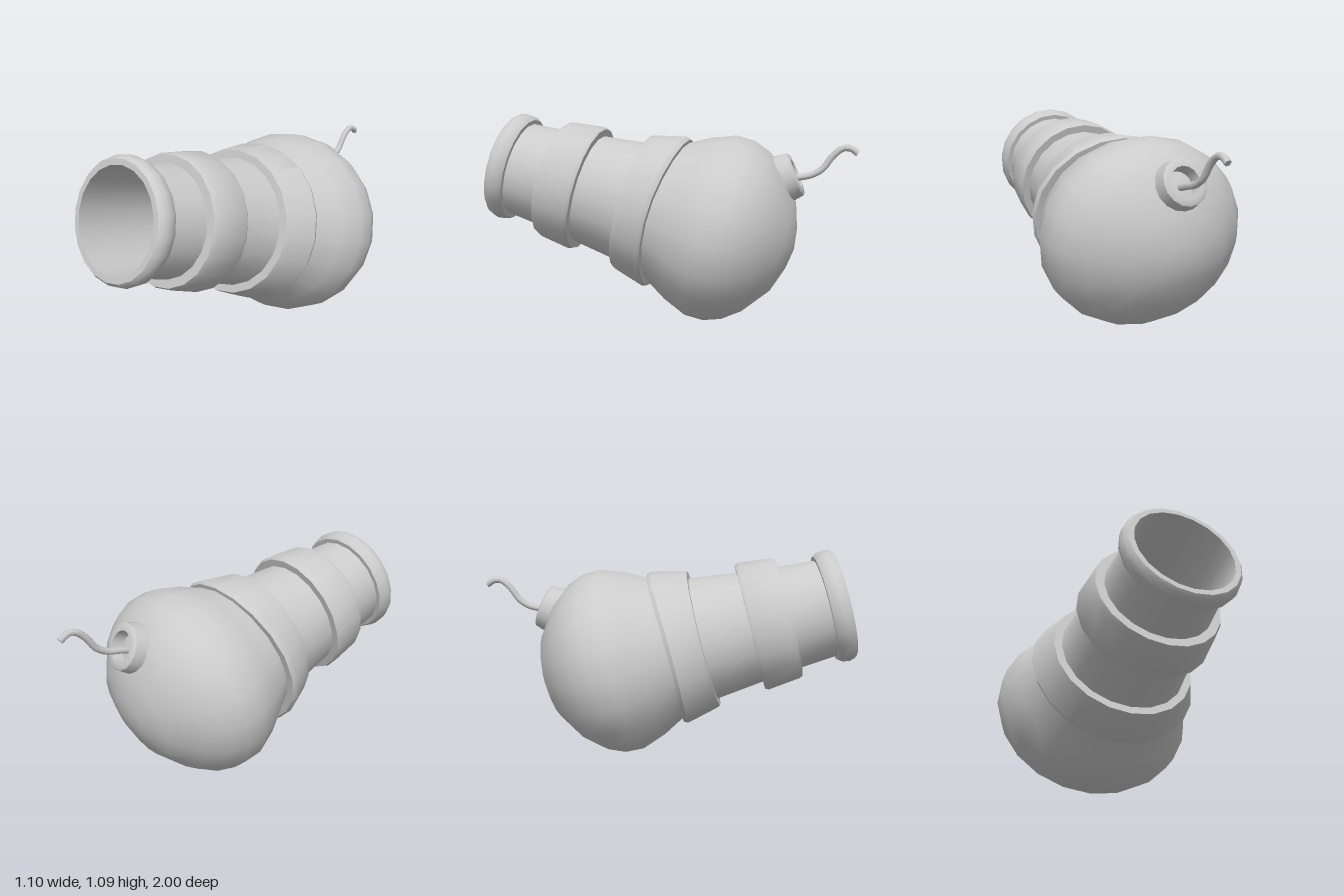
import * as THREE from 'three';
import { toCreasedNormals } from 'three/addons/utils/BufferGeometryUtils.js';

const SIDES = 20;
const TILT = THREE.MathUtils.degToRad(14.7);
const material = new THREE.MeshStandardMaterial({ color: 0xcccccc });

function addMesh(parent, name, geometry, crease = 0.7) {
  const mesh = new THREE.Mesh(toCreasedNormals(geometry, crease), material);
  mesh.name = name;
  parent.add(mesh);
  return mesh;
}

// Lathe from [distance behind the muzzle, radius] pairs, listed rear to front.
// The rear of the barrel is slightly flattened; bend pushes the sides forward.
function barrelLathe(profile, bend = 0) {
  const points = profile.map(([s, r]) => new THREE.Vector2(r, -s));
  const geometry = new THREE.LatheGeometry(points, SIDES);
  const p = geometry.attributes.position;
  for (let i = 0; i < p.count; i++) {
    const x = p.getX(i), y = p.getY(i), z = p.getZ(i);
    const flatten = 1 - 0.03 * Math.min(1, -y / 0.4 + 0.2)
      - 0.06 * THREE.MathUtils.smoothstep(-y, 0.72, 0.97);
    const side = (x * x) / (x * x + z * z + 1e-9);
    p.setY(i, y + bend * side * THREE.MathUtils.smoothstep(-y, 0.75, 0.95));
    p.setZ(i, z * flatten);
  }
  return geometry;
}

export function createModel() {
  const model = new THREE.Group();
  model.name = 'cannon';

  const barrel = new THREE.Group();
  barrel.name = 'barrel';
  barrel.position.set(0, 0.825, 0.925);
  barrel.rotation.x = Math.PI / 2 - TILT;
  model.add(barrel);

  // Bulbous breech and tapering tube
  addMesh(barrel, 'barrelBody', barrelLathe([
    [1.66, 0], [1.645, 0.12], [1.6, 0.27], [1.49, 0.43], [1.4, 0.507],
    [1.31, 0.545], [1.21, 0.548], [1.08, 0.495], [0.94, 0.41],
    [0.76, 0.345], [0.5, 0.31], [0.3, 0.285], [0.08, 0.262],
  ]));

  // Hollow bore with a flat end wall
  addMesh(barrel, 'bore', barrelLathe([[0, 0.256], [0.94, 0.29], [0.94, 0]]));

  // Rounded muzzle lip
  addMesh(barrel, 'muzzleRing', barrelLathe([
    [0.1, 0.255], [0.1, 0.288], [0.08, 0.301], [0.045, 0.306],
    [0.015, 0.297], [0, 0.283], [0, 0.255],
  ]));

  // Reinforcing bands
  addMesh(barrel, 'middleBand', barrelLathe([
    [0.508, 0.3], [0.508, 0.352], [0.49, 0.361], [0.32, 0.34],
    [0.3, 0.33], [0.3, 0.27],
  ]));
  addMesh(barrel, 'rearBand', barrelLathe([
    [0.972, 0.4], [0.972, 0.452], [0.95, 0.462], [0.785, 0.398],
    [0.763, 0.388], [0.763, 0.33],
  ], 0.04));

  // Fuse socket: tapered collar with a blind hole
  const socket = new THREE.LatheGeometry([
    [0.132, -0.16], [0.128, -0.07], [0.118, -0.008], [0.108, 0],
    [0.078, 0], [0.07, -0.07], [0, -0.07],
  ].map(([r, y]) => new THREE.Vector2(r, y)), 16);
  const collar = addMesh(model, 'fuseSocket', socket);
  collar.position.set(0, 0.805, -0.685);
  collar.rotation.x = -THREE.MathUtils.degToRad(67);

  // Wavy fuse cord
  const path = new THREE.CatmullRomCurve3([
    [0.765, -0.6], [0.785, -0.69], [0.8, -0.76], [0.833, -0.815],
    [0.9, -0.865], [0.94, -0.915], [0.94, -0.955], [0.915, -0.99],
  ].map(([y, z]) => new THREE.Vector3(0, y, z)));
  addMesh(model, 'fuse', new THREE.TubeGeometry(path, 18, 0.017, 8), 1.0);
  const tip = addMesh(model, 'fuseTip', new THREE.CircleGeometry(0.017, 8));
  tip.position.copy(path.getPoint(1));
  tip.lookAt(path.getPoint(1).add(path.getTangent(1)));

  return model;
}
